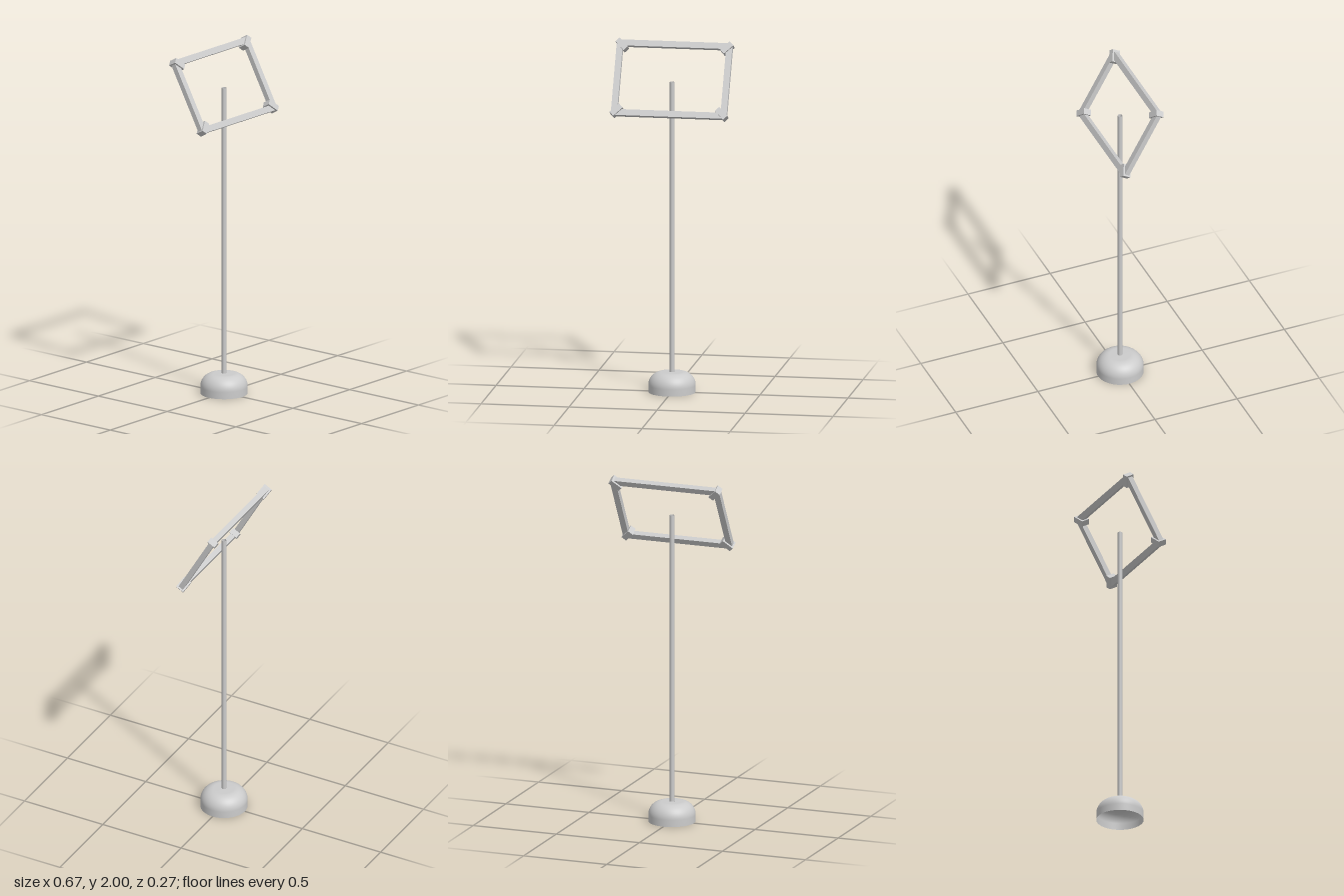
import * as THREE from 'three';

const solid = new THREE.MeshStandardMaterial({ color: 0xcccccc });
const shell = new THREE.MeshStandardMaterial({ color: 0xcccccc, side: THREE.DoubleSide });

const POLE_R = 0.013;
const BASE_H = 0.115;

function add(parent, name, geometry, material, x = 0, y = 0, z = 0) {
  const mesh = new THREE.Mesh(geometry, material);
  mesh.name = name;
  mesh.position.set(x, y, z);
  parent.add(mesh);
  return mesh;
}

export function createModel() {
  const model = new THREE.Group();
  model.name = 'signStand';

  // Hollow base: straight rim, rounded shoulder, flat top with a hole for the pole
  const radius = 0.133, bend = 0.075;
  const profile = [new THREE.Vector2(radius, 0)];
  for (let i = 0; i <= 12; i++) {
    const a = (i / 12) * Math.PI / 2;
    profile.push(new THREE.Vector2(
      radius - bend + bend * Math.cos(a),
      BASE_H - bend + bend * Math.sin(a)));
  }
  profile.push(new THREE.Vector2(POLE_R, BASE_H));
  add(model, 'base', new THREE.LatheGeometry(profile, 48), shell);

  // Open tube pole
  const poleTop = 1.775;
  add(model, 'pole',
    new THREE.CylinderGeometry(POLE_R, POLE_R, poleTop - BASE_H, 24, 1, true),
    shell, 0, (poleTop + BASE_H) / 2, 0);

  // Rectangular frame, leaning back at the top
  const frame = new THREE.Group();
  frame.name = 'frame';
  frame.position.y = 1.787;
  frame.rotation.x = -THREE.MathUtils.degToRad(29);
  model.add(frame);

  const halfW = 0.311, halfH = 0.204, barWidth = 0.035, barDepth = 0.03;
  const rail = new THREE.BoxGeometry(halfW * 2, barWidth, barDepth);
  const stile = new THREE.BoxGeometry(barWidth, halfH * 2, barDepth);
  add(frame, 'topRail', rail, solid, 0, halfH);
  add(frame, 'bottomRail', rail, solid, 0, -halfH);
  add(frame, 'leftStile', stile, solid, halfW);
  add(frame, 'rightStile', stile, solid, -halfW);

  // Diagonal corner blocks
  const block = new THREE.BoxGeometry(0.071, 0.033, 0.05);
  for (const sx of [1, -1]) {
    for (const sy of [1, -1]) {
      const name = (sy > 0 ? 'top' : 'bottom') + (sx > 0 ? 'Left' : 'Right') + 'Corner';
      add(frame, name, block, solid, sx * 0.2985, sy * 0.193).rotation.z = sx * sy * Math.PI / 4;
    }
  }
  return model;
}
